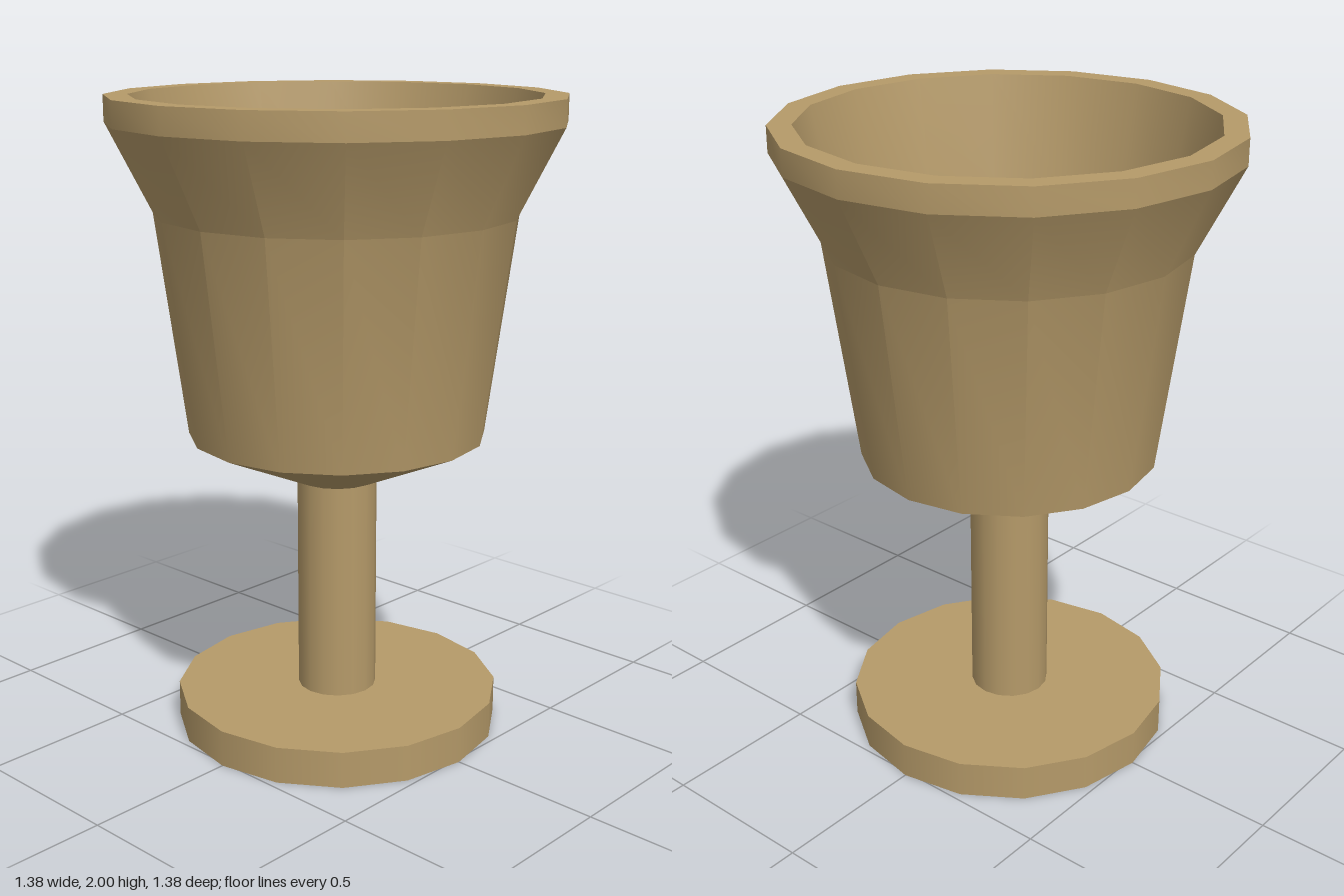
import * as THREE from 'three';
import { toCreasedNormals } from 'three/addons/utils/BufferGeometryUtils.js';

const SIDES = 16;
const CREASE = 0.44; // smooth around the body, sharp at the rims

export function createModel() {
  const group = new THREE.Group();
  group.name = 'goblet';
  const material = new THREE.MeshStandardMaterial({ color: 0xb59a69 });

  function add(name, geometry, y = 0) {
    const mesh = new THREE.Mesh(geometry, material);
    mesh.name = name;
    mesh.position.y = y;
    group.add(mesh);
  }

  // Flat disc foot
  const footHeight = 0.115;
  add('foot', new THREE.CylinderGeometry(0.515, 0.515, footHeight, SIDES), footHeight / 2);

  // Straight stem; its top closes the bottom of the bowl
  const stemTop = 0.815;
  add('stem', new THREE.CylinderGeometry(0.125, 0.125, stemTop - footHeight, SIDES), (stemTop + footHeight) / 2);

  // Bowl profile: up the outside, over the rim, down the inside
  const profile = [
    [0.125, 0.81], [0.463, 0.96], [0.555, 1.65], [0.692, 1.92], [0.692, 2],
    [0.62, 2], [0.552, 1.65], [0.46, 0.964], [0.125, 0.815],
  ].map(([r, y]) => new THREE.Vector2(r, y));
  add('bowl', toCreasedNormals(new THREE.LatheGeometry(profile, SIDES), CREASE));

  return group;
}
